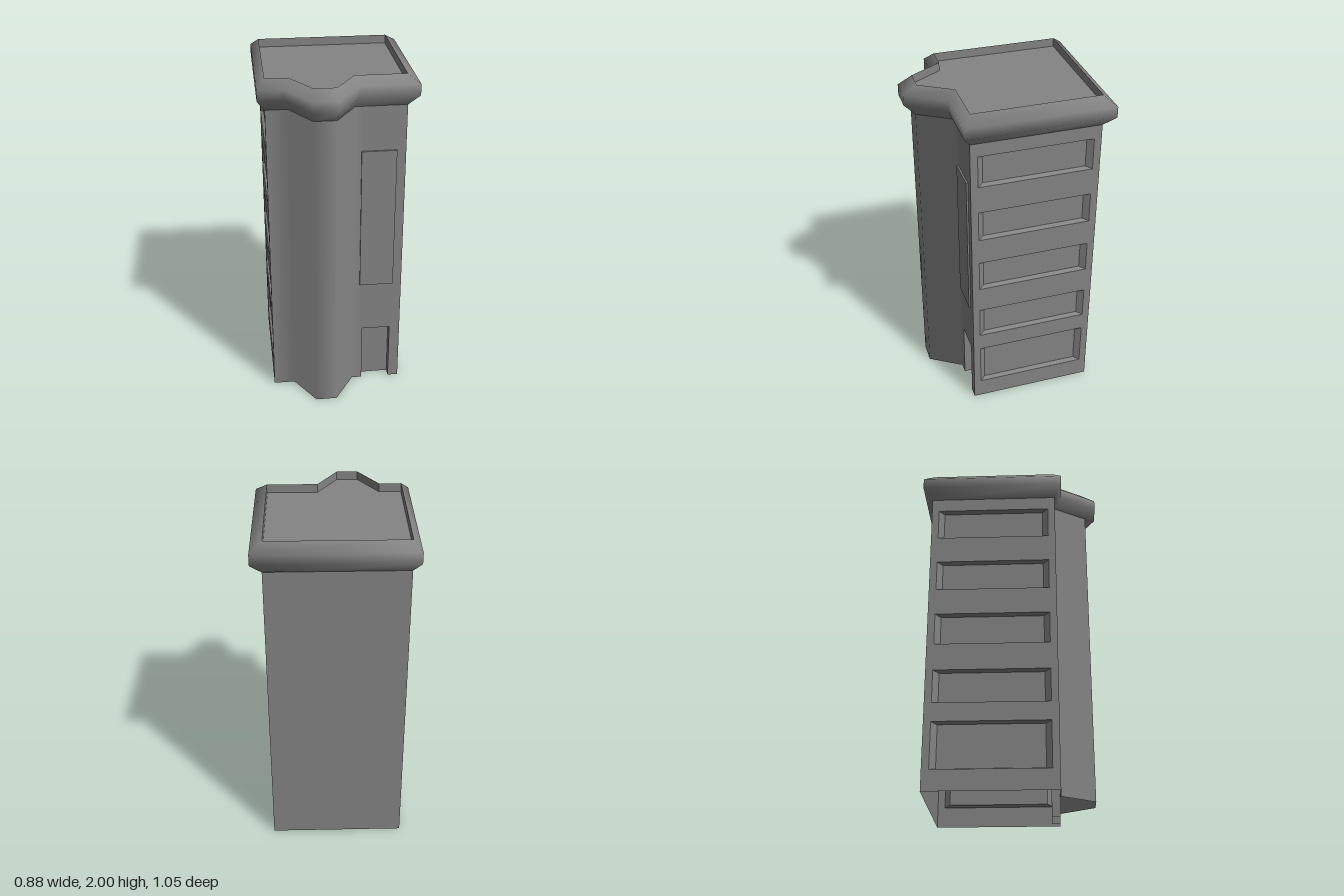
import * as THREE from 'three';

const material = new THREE.MeshStandardMaterial({ color: 0x848484, side: THREE.DoubleSide });

const X0 = -0.4, X1 = 0.382, ZB = -0.472, ZF = 0.27, WALL_TOP = 1.825;

// Smooth normals weighted by corner angle, so narrow and wide faces count alike.
function smoothNormals(g) {
  const pos = g.attributes.position, index = g.index.array;
  const normals = Array.from({ length: pos.count }, () => new THREE.Vector3());
  for (let i = 0; i < index.length; i += 3) {
    const ids = [index[i], index[i + 1], index[i + 2]];
    const p = ids.map((id) => new THREE.Vector3().fromBufferAttribute(pos, id));
    const face = new THREE.Triangle(...p).getNormal(new THREE.Vector3());
    ids.forEach((id, k) => {
      const a = p[(k + 1) % 3].clone().sub(p[k]), b = p[(k + 2) % 3].clone().sub(p[k]);
      normals[id].addScaledVector(face, a.angleTo(b));
    });
  }
  const flatList = normals.flatMap((n) => n.normalize().toArray());
  g.setAttribute('normal', new THREE.Float32BufferAttribute(flatList, 3));
}

// Joins rings of [x, y, z] points into a skin; skip(row, column) leaves a cell open.
function loft(rings, { closed = true, cap = false, flat = false, skip = () => false } = {}) {
  const n = rings[0].length;
  const index = [];
  for (let r = 0; r < rings.length - 1; r++) {
    for (let c = 0; c < (closed ? n : n - 1); c++) {
      if (skip(r, c)) continue;
      const a = r * n + c, b = r * n + ((c + 1) % n);
      index.push(a, b, b + n, a, b + n, a + n);
    }
  }
  if (cap) {
    const o = (rings.length - 1) * n;
    for (let c = 1; c < n - 1; c++) index.push(o, o + c, o + c + 1);
  }
  let g = new THREE.BufferGeometry();
  g.setAttribute('position', new THREE.Float32BufferAttribute(rings.flat(2), 3));
  g.setIndex(index);
  if (flat) {
    g = g.toNonIndexed();
    g.computeVertexNormals();
  } else {
    smoothNormals(g);
  }
  return g;
}

function add(group, name, geometry) {
  const mesh = new THREE.Mesh(geometry, material);
  mesh.name = name;
  group.add(mesh);
  return mesh;
}

// Plan of the tower: a rectangle with a tapered bay on the front, as [x, z].
const plan = (x0, x1, zb, zf, b0, b1, t0, t1, zt) => [
  [x0, zb], [x0, zf], [b0, zf], [t0, zt], [t1, zt], [b1, zf], [x1, zf], [x1, zb],
];
const atHeight = (points, y) => points.map(([x, z]) => [x, y, z]);

const bodyPlan = plan(X0, X1, ZB, ZF, -0.275, 0.09, -0.155, -0.03, 0.462);
const outerPlan = plan(-0.442, 0.442, -0.526, 0.312, -0.296, 0.11, -0.161, -0.026, 0.525);
const innerPlan = plan(-0.395, 0.374, -0.467, 0.262, -0.268, 0.085, -0.152, -0.03, 0.446);

// Window rows as [bottom, top]
const rows = [[0.12, 0.39], [0.5, 0.695], [0.855, 1.045], [1.205, 1.39], [1.555, 1.745]];
const WZ0 = -0.43, WZ1 = 0.228;

// Side wall with splayed window recesses; side is +1 or -1, x is the wall plane.
function sideWall(x, side) {
  const group = new THREE.Group();
  const shape = new THREE.Shape([[ZB, 0], [ZF, 0], [ZF, WALL_TOP], [ZB, WALL_TOP]]
    .map(([z, y]) => new THREE.Vector2(-z, y)));
  for (const [y0, y1] of rows) {
    shape.holes.push(new THREE.Path([[WZ0, y0], [WZ1, y0], [WZ1, y1], [WZ0, y1]]
      .map(([z, y]) => new THREE.Vector2(-z, y))));
    const ring = (px, dz, dy) => [
      [px, y0 + dy, WZ0 + dz], [px, y0 + dy, WZ1 - dz],
      [px, y1 - dy, WZ1 - dz], [px, y1 - dy, WZ0 + dz],
    ];
    add(group, 'windowRecess',
      loft([ring(x, 0, 0), ring(x - side * 0.027, 0.033, 0.01)], { cap: true, flat: true }));
  }
  const wall = add(group, 'wallPanel', new THREE.ShapeGeometry(shape));
  wall.rotation.y = Math.PI / 2;
  wall.position.x = x;
  return group;
}

export function createModel() {
  const model = new THREE.Group();
  model.name = 'tower';

  for (const [name, x, side] of [['leftWall', X1, 1], ['rightWall', X0, -1]]) {
    const wall = sideWall(x, side);
    wall.name = name;
    model.add(wall);
  }

  // Plain back wall
  const back = add(model, 'backWall', new THREE.PlaneGeometry(X1 - X0, WALL_TOP));
  back.rotation.y = Math.PI;
  back.position.set((X0 + X1) / 2, WALL_TOP / 2, ZB);

  // Front wall with softly shaded bay, leaving the doorway open
  const D0 = 0.15, D1 = 0.32, DH = 0.37, DEPTH = 0.05;
  const front = [...bodyPlan.slice(1, 6), [D0, ZF], [D1, ZF], bodyPlan[6]];
  add(model, 'frontWall', loft([0, DH, WALL_TOP].map((y) => atHeight(front, y)),
    { closed: false, skip: (r, c) => r === 0 && c === 5 }));

  // Doorway recess: jambs, lintel and back panel, open at the ground
  const arch = (z) => [[D0, 0, z], [D0, DH, z], [D1, DH, z], [D1, 0, z]];
  add(model, 'doorRecess',
    loft([arch(ZF), arch(ZF - DEPTH)], { closed: false, cap: true, flat: true }));

  // Tall raised panel above the door
  const panel = add(model, 'frontPanel', new THREE.BoxGeometry(0.2, 0.87, 0.02));
  panel.position.set(0.23, 1.125, ZF);

  // Cornice: flared band running into the sloped top, then the inside of the parapet
  add(model, 'cornice', loft([
    atHeight(bodyPlan, WALL_TOP), atHeight(outerPlan, 1.89),
    atHeight(outerPlan, 1.953), atHeight(innerPlan, 2),
  ]));
  add(model, 'parapetInside',
    loft([atHeight(innerPlan, 2), atHeight(innerPlan, 1.95)], { flat: true }));

  // Flat roof
  const roof = add(model, 'roof', new THREE.ShapeGeometry(
    new THREE.Shape(innerPlan.map(([x, z]) => new THREE.Vector2(x, -z)))));
  roof.rotation.x = -Math.PI / 2;
  roof.position.y = 1.95;

  return model;
}
